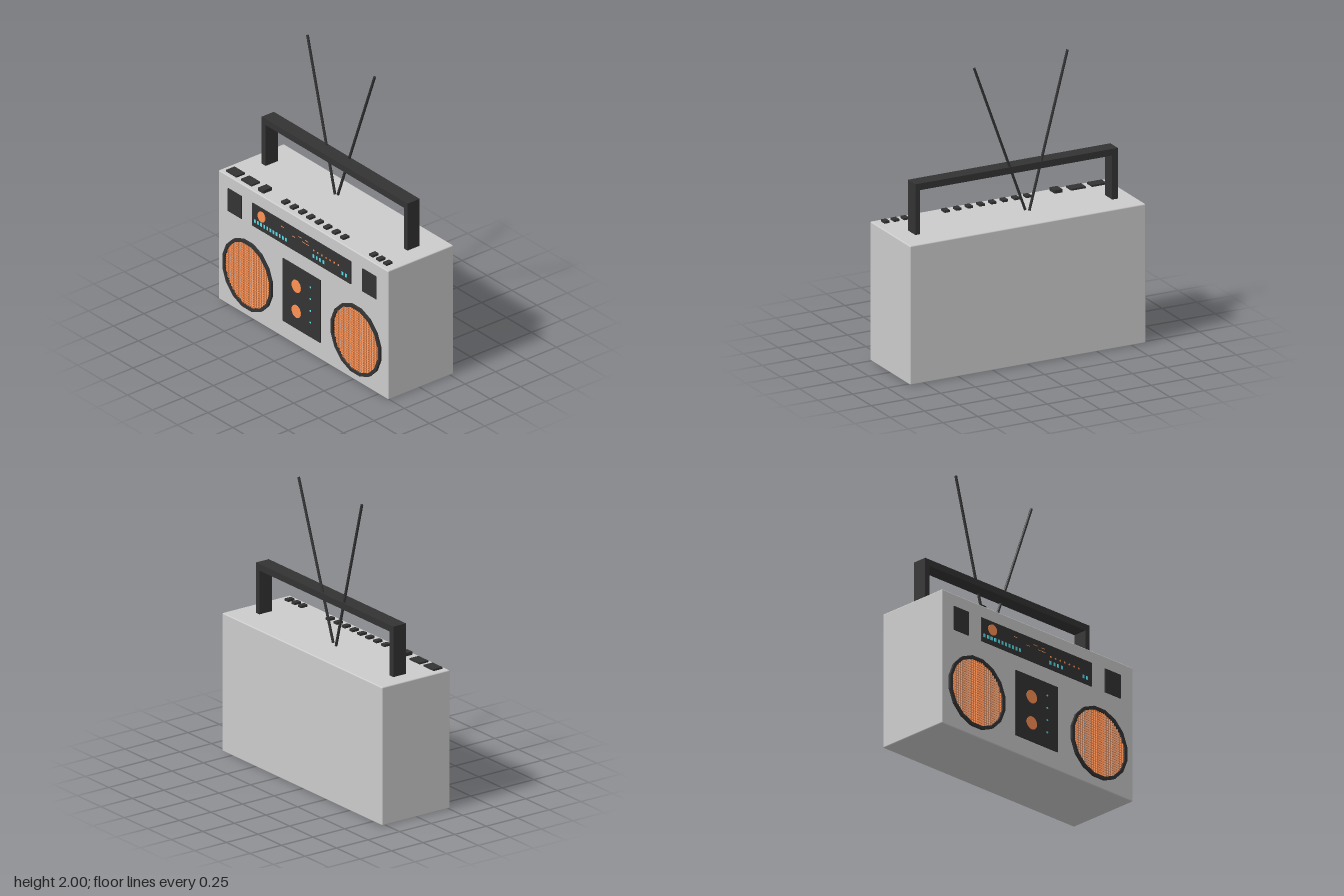
import * as THREE from 'three';
import { RoundedBoxGeometry } from 'three/addons/geometries/RoundedBoxGeometry.js';

const material = (color, flatShading = true) => new THREE.MeshStandardMaterial({ color, flatShading });
const GREY = material(0xcccccc, false);
const DARK = material(0x333333);
const ORANGE = material(0xff9152);
const TEAL = material(0x59e0ee);
const FRONT = 0.26, TOP = 0.938;

export function createModel() {
  const model = new THREE.Group();

  const add = (parent, name, geometry, mat) => {
    const mesh = new THREE.Mesh(geometry, mat);
    mesh.name = name;
    parent.add(mesh);
    return mesh;
  };
  const group = (name) => {
    const g = new THREE.Group();
    g.name = name;
    model.add(g);
    return g;
  };
  // Box given by its minimum and maximum corners
  const box = (parent, name, mat, x0, x1, y0, y1, z0, z1) => {
    const mesh = add(parent, name, new THREE.BoxGeometry(x1 - x0, y1 - y0, z1 - z0), mat);
    mesh.position.set((x0 + x1) / 2, (y0 + y1) / 2, (z0 + z1) / 2);
    return mesh;
  };
  // Disc lying on the front face
  const disc = (parent, name, mat, x, y, r, z0, z1, sides = 20) => {
    const mesh = add(parent, name, new THREE.CylinderGeometry(r, r, z1 - z0, sides).rotateX(Math.PI / 2), mat);
    mesh.position.set(x, y, (z0 + z1) / 2);
  };

  // Case
  add(model, 'case', new RoundedBoxGeometry(1.7, TOP, 0.537, 2, 0.008), GREY)
    .position.set(0, TOP / 2, -0.0085);

  // Handle
  const handle = group('handle');
  box(handle, 'handleBar', DARK, -0.74, 0.72, 1.235, 1.28, -0.105, -0.005);
  box(handle, 'handlePostRight', DARK, -0.74, -0.7, TOP - 0.01, 1.24, -0.105, -0.005);
  box(handle, 'handlePostLeft', DARK, 0.685, 0.72, TOP - 0.01, 1.24, -0.105, -0.005);

  // Antennas
  const antennas = group('antennas');
  for (const [x0, y0, x1, y1] of [[-0.11, 0.96, -0.385, 1.998], [-0.08, 0.97, 0.288, 1.985]]) {
    const from = new THREE.Vector3(x0, y0, -0.09), to = new THREE.Vector3(x1, y1, -0.09);
    const rod = add(antennas, 'antenna', new THREE.CylinderGeometry(0.009, 0.009, from.distanceTo(to), 8), DARK);
    rod.position.copy(from).lerp(to, 0.5);
    rod.quaternion.setFromUnitVectors(new THREE.Vector3(0, 1, 0), to.sub(from).normalize());
  }

  // Buttons on the top
  const buttons = group('topButtons');
  for (const [x0, x1, y] of [[-0.805, -0.7, 0.95], [-0.655, -0.55, 0.95], [-0.485, -0.43, 0.96]])
    box(buttons, 'wideButton', DARK, x0, x1, TOP - 0.01, y, 0.165, 0.235);
  const keys = [0.633, 0.703, 0.773];
  for (let i = 0; i < 8; i++) keys.push(-0.25 + i * 0.0842);
  for (const x of keys)
    box(buttons, 'keyButton', DARK, x - 0.018, x + 0.018, TOP - 0.01, 0.953, 0.175, 0.224);

  // Tuner panel and the two square panels beside it
  const tuner = group('tuner');
  for (const [x0, x1] of [[-0.75, -0.615], [-0.505, 0.48], [0.597, 0.735]])
    box(tuner, 'upperPanel', DARK, x0, x1, 0.685, 0.85, FRONT - 0.01, 0.266);
  disc(tuner, 'tuningKnob', ORANGE, -0.408, 0.79, 0.037, FRONT, 0.272);
  const lamps = [0.11, 0.143, 0.176, 0.21, 0.4, 0.435];
  for (let i = 0; i < 11; i++) lamps.push(-0.477 + i * 0.0312);
  for (const x of lamps)
    box(tuner, 'scaleLamp', TEAL, x - 0.008, x + 0.008, 0.717, 0.742, FRONT, 0.268);
  for (let i = 0; i < 7; i++) disc(tuner, 'stationDot', ORANGE, 0.112 + i * 0.0412, 0.772, 0.007, FRONT, 0.268, 8);
  for (const [x, y] of [[-0.2, 0.808], [-0.09, 0.785], [-0.025, 0.808], [0.042, 0.808], [0.012, 0.785], [0.05, 0.785]])
    box(tuner, 'scaleMark', ORANGE, x - 0.015, x + 0.015, y - 0.002, y + 0.002, FRONT, 0.268);

  // Cassette deck
  const deck = group('cassetteDeck');
  box(deck, 'deckPanel', DARK, -0.2, 0.175, 0.125, 0.58, FRONT - 0.01, 0.267);
  for (const y of [0.436, 0.253]) disc(deck, 'reel', ORANGE, -0.06, y, 0.045, FRONT, 0.271);
  for (let i = 0; i < 4; i++) disc(deck, 'deckLamp', TEAL, 0.08, 0.232 + i * 0.086, 0.007, FRONT, 0.269, 8);

  // Speakers: a faceted rim around a wire grille
  const polygon = (PathType, r) => {
    const points = [];
    for (let i = 0; i < 16; i++) {
      const a = (i + 0.5) * Math.PI / 8;
      points.push(new THREE.Vector2(Math.cos(a) * r, Math.sin(a) * r));
    }
    return new PathType(points);
  };
  const rimShape = polygon(THREE.Shape, 0.249);
  rimShape.holes.push(polygon(THREE.Path, 0.228));
  const rim = new THREE.ExtrudeGeometry(rimShape, { depth: 0.022, bevelEnabled: false });
  for (const x of [-0.547, 0.538]) {
    const speaker = group(x < 0 ? 'speakerRight' : 'speakerLeft');
    speaker.position.set(x, 0.306, 0);
    add(speaker, 'speakerRim', rim, DARK).position.z = 0.255;
    for (let i = -13; i <= 13; i++) {
      const p = i * 0.0166, half = Math.sqrt(0.228 ** 2 - p * p);
      box(speaker, 'grilleWire', ORANGE, p - 0.002, p + 0.002, -half, half, FRONT, 0.268);
      box(speaker, 'grilleWire', ORANGE, -half, half, p - 0.002, p + 0.002, FRONT, 0.266);
    }
  }
  return model;
}
